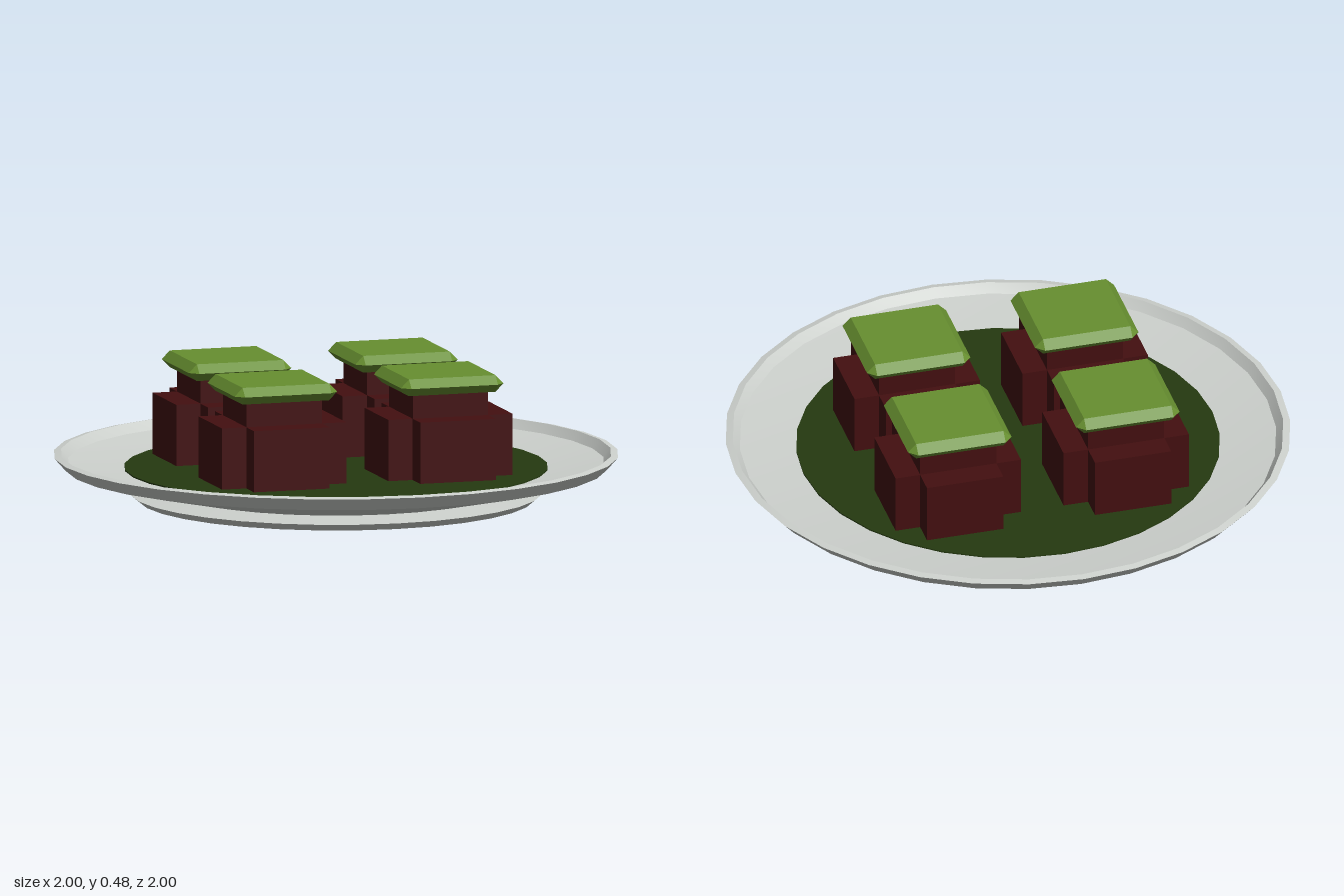
import * as THREE from 'three';
import { toCreasedNormals } from 'three/addons/utils/BufferGeometryUtils.js';
import { ConvexGeometry } from 'three/addons/geometries/ConvexGeometry.js';

function material(name, color) {
  const m = new THREE.MeshStandardMaterial({ color });
  m.name = name;
  return m;
}

function part(name, geometry, mat, x = 0, y = 0, z = 0) {
  const mesh = new THREE.Mesh(geometry, mat);
  mesh.name = name;
  mesh.position.set(x, y, z);
  return mesh;
}

// Square slab with bevelled rims and clipped corners
function capGeometry() {
  const points = [];
  for (const sx of [-1, 1]) for (const sz of [-1, 1]) {
    for (const y of [-0.03, 0.03]) points.push(new THREE.Vector3(sx * 0.16, y, sz * 0.16));
    points.push(new THREE.Vector3(sx * 0.19, 0, sz * 0.16));
    points.push(new THREE.Vector3(sx * 0.16, 0, sz * 0.19));
  }
  return new ConvexGeometry(points);
}

export function createModel() {
  const model = new THREE.Group();
  model.name = 'platedBites';
  const china = material('plateGrey', 0xcdd1cd);
  const sauceGreen = material('sauceGreen', 0x253a10);
  const brown = material('darkBrown', 0x430f10);
  const leaf = material('capGreen', 0x678f30);

  // Plate: foot, flared underside, rim and shallow dish
  const profile = [
    [0, 0], [0.7, 0], [0.73, 0.025], [0.6, 0.037], [0.96, 0.115], [1, 0.16],
    [0.975, 0.165], [0.95, 0.133], [0.6, 0.095], [0, 0.095],
  ].map(([r, y]) => new THREE.Vector2(r, y));
  model.add(part('plate', toCreasedNormals(new THREE.LatheGeometry(profile, 32), 0.4), china));

  // Sauce pool
  model.add(part('sauce', new THREE.CylinderGeometry(0.75, 0.75, 0.02, 32), sauceGreen, 0, 0.106, 0));

  // Four cross-shaped bites, each with a taller core and a cap
  const base = 0.1, armTop = 0.335, coreTop = 0.425;
  const armH = armTop - base, coreH = coreTop - base;
  const armX = new THREE.BoxGeometry(0.46, armH, 0.28);
  const armZ = new THREE.BoxGeometry(0.28, armH, 0.46);
  const core = new THREE.BoxGeometry(0.279, coreH, 0.279);
  const cap = capGeometry();
  for (const x of [-0.308, 0.308]) for (const z of [-0.31, 0.23]) {
    const bite = new THREE.Group();
    bite.name = 'bite';
    bite.position.set(x, 0, z);
    bite.add(
      part('sideArms', armX, brown, 0, base + armH / 2, 0),
      part('frontBackArms', armZ, brown, 0, base + armH / 2, 0),
      part('core', core, brown, 0, base + coreH / 2, 0),
      part('cap', cap, leaf, 0, 0.45, 0),
    );
    model.add(bite);
  }
  return model;
}
